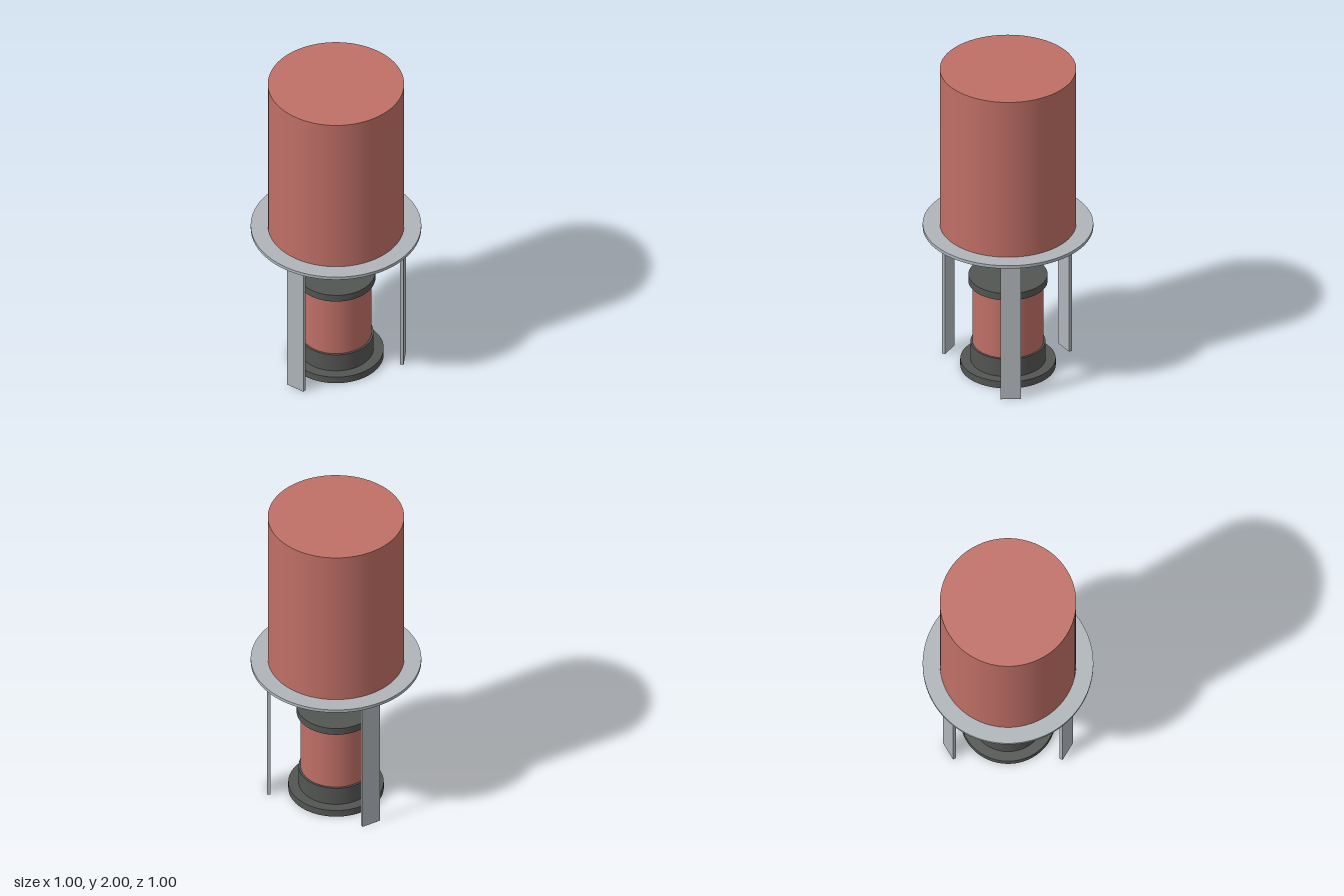
import * as THREE from 'three';
import { toCreasedNormals } from 'three/addons/utils/BufferGeometryUtils.js';

export function createModel() {
  const model = new THREE.Group();
  const red = new THREE.MeshStandardMaterial({ name: 'brick red', color: 0xbf6f66 });
  const grey = new THREE.MeshStandardMaterial({ name: 'light grey', color: 0xb0b5ba });
  const dark = new THREE.MeshStandardMaterial({ name: 'dark grey', color: 0x535553 });

  function add(name, geometry, material, parent = model) {
    const mesh = new THREE.Mesh(geometry, material);
    mesh.name = name;
    parent.add(mesh);
    return mesh;
  }

  // Upright cylinder between two heights
  function cylinder(name, radius, bottom, top, material, sides = 64) {
    const geometry = new THREE.CylinderGeometry(radius, radius, top - bottom, sides);
    add(name, geometry, material).position.y = (bottom + top) / 2;
  }

  // Large tank on top
  cylinder('tank', 0.4, 0.955, 2, red);

  // Round support plate with a small centre hole
  const disc = new THREE.Shape().absarc(0, 0, 0.5, 0, Math.PI * 2, false);
  disc.holes.push(new THREE.Path().absarc(0, 0, 0.02, 0, Math.PI * 2, true));
  const plate = new THREE.ExtrudeGeometry(disc, { depth: 0.02, bevelEnabled: false, curveSegments: 64 });
  plate.rotateX(-Math.PI / 2);
  add('supportPlate', toCreasedNormals(plate, 0.6), grey).position.y = 0.935;

  // Three flat legs evenly spaced around the axis
  for (let i = 0; i < 3; i++) {
    const pivot = new THREE.Group();
    pivot.name = 'legPivot' + (i + 1);
    pivot.rotation.y = (i * Math.PI * 2) / 3;
    model.add(pivot);
    add('leg', new THREE.BoxGeometry(0.12, 0.935, 0.02), grey, pivot).position.set(0, 0.4675, 0.395);
  }

  // Lower unit: foot, collar, body, lid and spindle
  cylinder('foot', 0.28, 0, 0.045, dark);
  cylinder('collar', 0.22, 0.045, 0.163, dark);
  cylinder('body', 0.208, 0.163, 0.567, red);
  cylinder('lid', 0.232, 0.567, 0.613, dark);
  cylinder('spindle', 0.012, 0.613, 0.722, dark, 24);

  return model;
}
